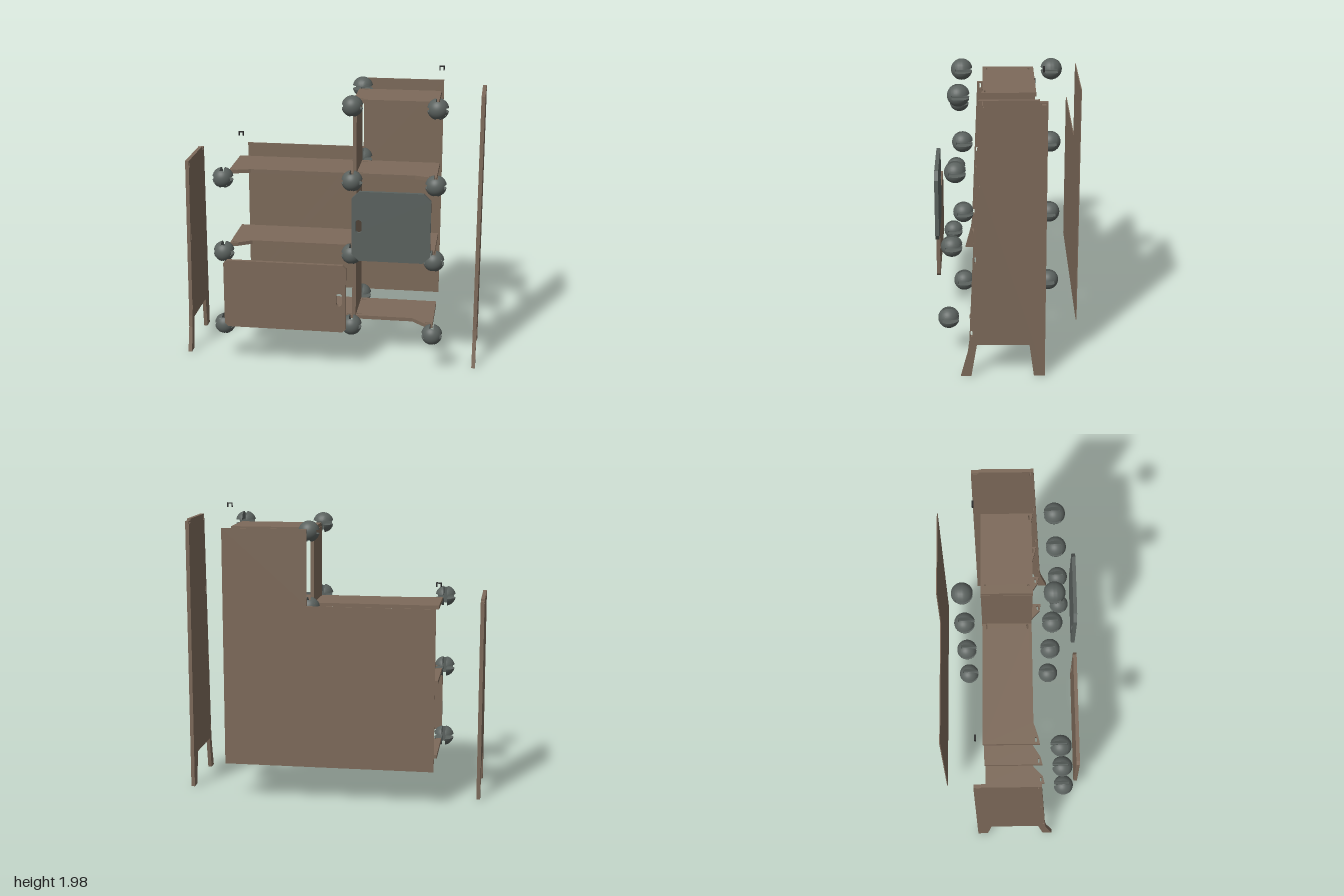
import * as THREE from 'three';
import { mergeGeometries, toCreasedNormals } from 'three/addons/utils/BufferGeometryUtils.js';

const mat = (name, color) => Object.assign(new THREE.MeshStandardMaterial({ color }), { name });
const T = 0.025;                       // board thickness
const R = 0.07, W = 0.013, D = 0.042;  // ball radius, half slot width, slot floor
const LEVELS = [0.27, 0.785, 1.295, 1.8];
const frontEdge = (y) => 0.245 - 0.0535 * y;  // sloping front line of the side panels

const toShape = (pts) => new THREE.Shape(pts.map(([x, y]) => new THREE.Vector2(x, y)));

// Rounded slot outline centred on (x, y)
function slot(x, y, w, h) {
  const r = Math.min(w, h) / 2, p = new THREE.Path();
  const dx = w / 2 - r, dy = h / 2 - r;
  p.absarc(x + dx, y + dy, r, 0, Math.PI / 2);
  p.absarc(x - dx, y + dy, r, Math.PI / 2, Math.PI);
  p.absarc(x - dx, y - dy, r, Math.PI, Math.PI * 1.5);
  p.absarc(x + dx, y - dy, r, Math.PI * 1.5, Math.PI * 2);
  p.closePath();
  return p;
}

// Flat board cut from an outline, centred on its own thickness
function board(pts, holes = [], depth = T) {
  const shape = toShape(pts);
  shape.holes.push(...holes);
  return new THREE.ExtrudeGeometry(shape, { depth, bevelEnabled: false, curveSegments: 6 })
    .translate(0, 0, -depth / 2);
}

// One prong of a ball: a spherical piece bounded by the slots
function prong(isHalf) {
  const N = 12, M = 12, rMin = isHalf ? W : W * Math.SQRT2;
  const t0 = Math.asin(D / R), t1 = -Math.acos(rMin / R);
  const pos = [], idx = [], n = N + 2;
  for (let j = 0; j <= M; j++) {
    const t = t0 + (t1 - t0) * j / M, r = R * Math.cos(t), z = R * Math.sin(t);
    const a0 = Math.asin(Math.min(1, W / r));
    const a1 = (isHalf ? Math.PI : Math.PI / 2) - a0;
    pos.push(isHalf ? 0 : W, W, z);
    for (let i = 0; i <= N; i++) {
      const a = a0 + (a1 - a0) * i / N;
      pos.push(r * Math.cos(a), r * Math.sin(a), z);
    }
  }
  for (let j = 0; j < M; j++) for (let i = 0; i < n; i++) {
    const a = j * n + i, b = j * n + (i + 1) % n, c = a + n, d = b + n;
    idx.push(a, c, b, b, c, d);
  }
  const g = new THREE.BufferGeometry();
  g.setAttribute('position', new THREE.Float32BufferAttribute(pos, 3));
  g.setIndex(idx);
  return toCreasedNormals(g, 0.6);
}

// Ball connector: solid cap plus prongs, slots opening towards -z
function ballGeometry(solidSide) {
  const cap = new THREE.SphereGeometry(R, 32, 10, 0, Math.PI * 2, 0, Math.acos(D / R)).rotateX(Math.PI / 2);
  const floor = new THREE.CircleGeometry(Math.sqrt(R * R - D * D), 32).rotateY(Math.PI).translate(0, 0, D);
  const parts = [cap.toNonIndexed(), floor.toNonIndexed()];
  parts.forEach((g) => g.deleteAttribute('uv'));
  for (let k = 0; k < 4; k++) {
    const upper = k < 2;
    if ((solidSide === 'top' && upper) || (solidSide === 'bottom' && !upper)) {
      if (k % 2 === 0) parts.push(prong(true).rotateZ(k * Math.PI / 2));
    } else parts.push(prong(false).rotateZ(k * Math.PI / 2));
  }
  return mergeGeometries(parts);
}

export function createModel() {
  const wood = mat('brown wood', 0x7d6a5a);
  const grey = mat('slate grey', 0x5b625f);
  const dark = mat('dark metal', 0x2b2b2b);
  const model = new THREE.Group();
  const add = (name, geo, material, x = 0, y = 0, z = 0) => {
    const m = new THREE.Mesh(geo, material);
    m.name = name;
    m.position.set(x, y, z);
    model.add(m);
    return m;
  };

  // Side panels with splayed legs; outline is (z, y)
  for (const [name, x, top] of [['leftSidePanel', 0.9875, 1.86], ['rightSidePanel', -0.9875, 1.36]]) {
    const f = frontEdge(top);
    const outline = [
      [-0.25, 0], [-0.18, 0], [-0.15, 0.225], [0.185, 0.225], [0.222, 0], [0.288, 0],
      [0.243, 0.17], [0.233, 0.25], [f + 0.013, top], [-0.2, top], [-0.2, top - 0.012], [-0.25, top - 0.012],
    ];
    const holes = LEVELS.filter((y) => y < top).map((y) => slot(frontEdge(y) - 0.012, y + 0.035, 0.012, 0.042));
    holes.push(slot(-0.225, top - 0.026, 0.03, 0.01));
    add(name, board(outline, holes).rotateY(-Math.PI / 2), wood, x);
  }

  // Shelves with flared front corners; outline is (x, z)
  LEVELS.forEach((y, i) => {
    const end = [0.235, 0.208, 0.18, 0.15][i];
    const left = i === 3 ? [[0.14, -0.19], [0.14, 0.14]] : [[-0.7, -0.19], [-0.7, end], [-0.645, end - 0.012], [-0.555, 0.14]];
    const outline = [...left, [0.555, 0.14], [0.645, end - 0.012], [0.7, end], [0.7, -0.19]];
    const holes = [slot(0.67, end - 0.025, 0.035, 0.012)];
    for (const z of [-0.16, 0.113]) {
      holes.push(slot(0.187, z, 0.035, 0.012));
      if (i < 3) holes.push(slot(0.115, z, 0.035, 0.012));
    }
    if (i < 3) holes.push(slot(-0.67, end - 0.025, 0.035, 0.012));
    add('shelf', board(outline, holes).rotateX(Math.PI / 2), wood, 0, y);
  });

  // Upright divider between the shelves
  for (let i = 0; i < 3; i++) {
    const h = LEVELS[i + 1] - LEVELS[i] - T;
    add('divider', new THREE.BoxGeometry(T, h, 0.33), wood, 0.15, (LEVELS[i] + LEVELS[i + 1]) / 2, -0.025);
  }

  // Stepped back panel
  add('backPanel', board([[-0.7, 0.245], [0.7, 0.245], [0.7, 1.83], [0.14, 1.83], [0.14, 1.33], [-0.7, 1.33]], [], 0.006),
    wood, 0, 0, -0.467);

  // Doors with clipped corners and a finger slot
  const door = (name, x0, x1, y0, y1, c, hx, hy, z, material) => add(name, board([
    [x0 + c, y0], [x1 - c, y0], [x1, y0 + c], [x1, y1 - c], [x1 - c, y1], [x0 + c, y1], [x0, y1 - c], [x0, y0 + c],
  ], [slot(hx, hy, 0.04, 0.09)]), material, 0, 0, z);
  door('largeDoor', -0.69, 0.135, 0.29, 0.765, 0.022, 0.09, 0.522, 0.455, wood);
  door('smallDoor', 0.17, 0.685, 0.8, 1.275, 0.048, 0.215, 1.037, 0.437, grey);

  // Ball connectors: outer front corners, then front and back of the divider
  const crossBall = ballGeometry(), topBall = ballGeometry('top'), bottomBall = ballGeometry('bottom');
  LEVELS.forEach((y, i) => {
    const cornerZ = [0.37, 0.343, 0.315, 0.288][i];
    add('cornerBall', crossBall, grey, 0.705, y, cornerZ);
    if (i < 3) add('cornerBall', crossBall, grey, -0.71, y, cornerZ);
    const geo = [bottomBall, crossBall, crossBall, topBall][i];
    add('dividerBallFront', geo, grey, 0.15, y, 0.277);
    add('dividerBallBack', geo, grey, 0.15, y, -0.308).rotation.y = Math.PI;
  });

  // Small staple clips above the rear corners
  const clip = board([[-0.018, -0.015], [-0.011, -0.015], [-0.011, 0.007], [0.011, 0.007],
    [0.011, -0.015], [0.018, -0.015], [0.018, 0.015], [-0.018, 0.015]], [], 0.012);
  add('clip', clip, dark, -0.7, 1.455, -0.235);
  add('clip', clip, dark, 0.695, 1.96, -0.235);

  return model;
}
